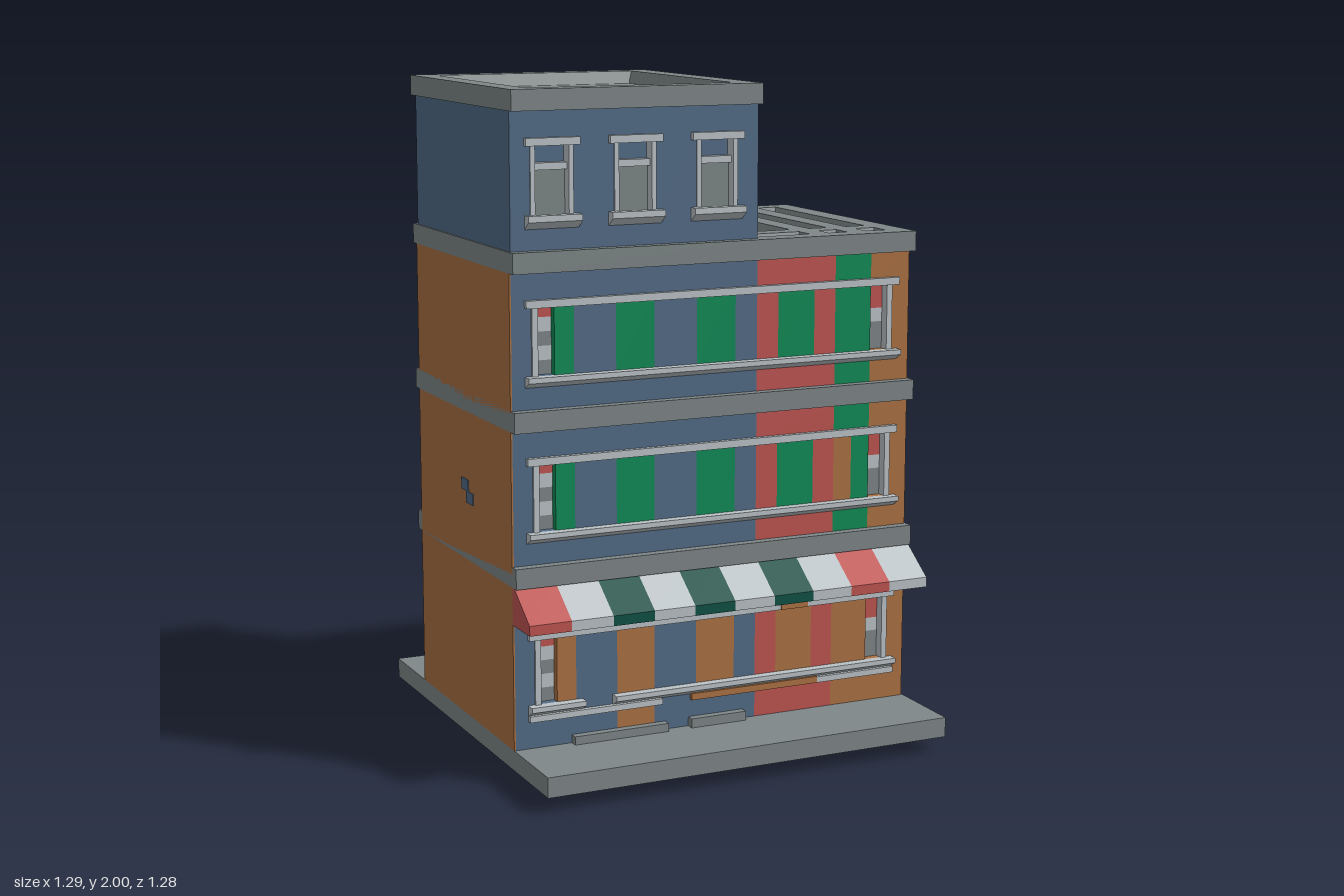
import * as THREE from 'three';

const paint = (name, color) => {
  const m = new THREE.MeshStandardMaterial({ color });
  m.name = name;
  return m;
};

export function createModel() {
  const root = new THREE.Group();
  root.name = 'cornerBuilding';
  const gray = paint('stone gray', 0x7f8788), blue = paint('slate blue', 0x536c87);
  const orange = paint('ochre', 0xac7142), red = paint('brick red', 0xbf5552);
  const green = paint('bright green', 0x0f8b56), dark = paint('dark green', 0x0e5044);
  const white = paint('pale gray', 0xbcc3c7), black = paint('charcoal', 0x3c4042);

  const add = (name, geo, mat) => {
    const m = new THREE.Mesh(geo, mat);
    m.name = name;
    root.add(m);
    return m;
  };
  // Box given by its limits on each axis
  const box = (name, mat, x0, x1, y0, y1, z0, z1) =>
    add(name, new THREE.BoxGeometry(x1 - x0, y1 - y0, z1 - z0), mat)
      .position.set((x0 + x1) / 2, (y0 + y1) / 2, (z0 + z1) / 2);
  // Side profile of [z, y] points, extruded along x
  const prism = (name, mat, pts, x0, x1) => {
    const g = new THREE.ExtrudeGeometry(new THREE.Shape(pts.map(([z, y]) => new THREE.Vector2(-z, y))),
      { depth: x1 - x0, bevelEnabled: false });
    g.rotateY(Math.PI / 2).translate(x0, 0, 0);
    // the turn maps shape x to -z
    add(name, g, mat);
  };

  // Roof slab with sloped sunken pockets
  const rect = (C, x0, x1, z0, z1) => new C([[x0, -z1], [x1, -z1], [x1, -z0], [x0, -z0]]
    .map(([x, y]) => new THREE.Vector2(x, y)));
  const roof = (name, x0, x1, y0, y1, pockets) => {
    const mid = (y0 + y1) / 2 - 0.01;
    box(name + 'Slab', gray, x0, x1, y0, mid, -0.415, 0.415);
    const s = rect(THREE.Shape, x0, x1, -0.415, 0.415);
    for (const p of pockets) s.holes.push(rect(THREE.Path, ...p));
    const g = new THREE.ExtrudeGeometry(s, { depth: y1 - mid, bevelEnabled: false });
    add(name + 'Rim', g.rotateX(-Math.PI / 2).translate(0, mid, 0), gray);
    for (const [a, b, c, d] of pockets) {
      const ring = (y, i) => [[a + i, y, d - i], [b - i, y, d - i], [b - i, y, c + i], [a + i, y, c + i]];
      const top = ring(y1, 0), low = ring(mid + 0.002, 0.015), v = [];
      const quad = (p, q, r, t) => v.push(...p, ...q, ...r, ...p, ...r, ...t);
      quad(...low);
      for (let i = 0; i < 4; i++) quad(top[i], top[(i + 1) % 4], low[(i + 1) % 4], low[i]);
      const pg = new THREE.BufferGeometry();
      pg.setAttribute('position', new THREE.Float32BufferAttribute(v, 3));
      pg.computeVertexNormals();
      add(name + 'Pocket', pg, gray);
    }
  };

  // Base slab and the small wheeled chassis under it
  box('baseSlab', gray, -0.645, 0.645, 0.045, 0.105, -0.64, 0.64);
  box('chassis', gray, -0.06, 0.06, 0.03, 0.045, -0.22, 0.22);
  for (const s of [-1, 1]) {
    box('bumper', orange, -0.14, 0.14, 0.03, 0.045, s * 0.265 - 0.03, s * 0.265 + 0.03);
    box('axle', gray, -0.1, 0.1, 0.028, 0.042, s * 0.16 - 0.012, s * 0.16 + 0.012);
    box('chassisRail', gray, s * 0.085 - 0.01, s * 0.085 + 0.01, 0.033, 0.045, -0.24, 0.24);
    for (const x of [-0.115, 0.115]) {
      const w = add('wheel', new THREE.CylinderGeometry(0.038, 0.038, 0.036, 20).rotateZ(Math.PI / 2), black);
      w.position.set(x, 0.038, s * 0.16);
      const hub = add('wheelHub', new THREE.CylinderGeometry(0.02, 0.02, 0.04, 16).rotateZ(Math.PI / 2), gray);
      hub.position.copy(w.position);
    }
  }

  // Three storeys: core by back colour, front wall bands, window strip panels
  const upperWall = [[-0.64, 0.13, blue], [0.13, 0.39, red], [0.39, 0.51, green], [0.51, 0.64, orange]];
  const strip = (c, last) => [[-0.51, -0.45, c], [-0.45, -0.32, blue], [-0.32, -0.2, c], [-0.2, -0.065, blue],
    [-0.065, 0.06, c], [0.06, 0.13, blue], [0.13, 0.2, red], [0.2, 0.32, c], [0.32, 0.39, red],
    [0.39, 0.45, last], [0.45, 0.51, c]];
  const storeys = [
    { y0: 0.105, y1: 0.59, sill: 0.205, panels: strip(orange, orange),
      back: [[-0.64, -0.385, blue], [-0.385, 0.385, dark], [0.385, 0.64, orange]],
      low: [[-0.64, -0.32, blue], [-0.32, -0.2, orange], [-0.2, 0.13, blue], [0.13, 0.39, red], [0.39, 0.64, orange]],
      high: [[-0.64, 0.13, blue], [0.13, 0.39, red], [0.39, 0.64, orange]] },
    { y0: 0.65, y1: 1.04, sill: 0.715, panels: strip(green, orange), low: upperWall, high: upperWall,
      back: [[-0.64, 0.385, blue], [0.385, 0.64, orange]] },
    { y0: 1.1, y1: 1.49, sill: 1.165, panels: strip(green, green), low: upperWall, high: upperWall,
      back: [[-0.64, 0.13, blue], [0.13, 0.64, orange]] },
  ];
  storeys.forEach(({ y0, y1, sill, panels, back, low, high }, n) => {
    const b = sill + 0.03, t = sill + 0.235;
    for (const [x0, x1, m] of back) box('storeyCore', m, x0, x1, y0, y1, -0.385, 0.355);
    for (const [x0, x1, m] of low) box('frontWallLow', m, x0, x1, y0, b, 0.355, 0.385);
    for (const [x0, x1, m] of high) box('frontWallHigh', m, x0, x1, t, y1, 0.355, 0.385);
    for (const [x0, x1, m] of panels) box('windowPanel', m, x0, x1, b, t, 0.355, 0.385);
    box('jambLeft', orange, 0.58, 0.64, b, t, 0.355, 0.385);
    box('jambRight', blue, -0.64, -0.58, b, t, 0.355, 0.385);
    // End windows with slatted fill
    for (const s of [-1, 1]) {
      box('windowPost', white, s * 0.571 - 0.009, s * 0.571 + 0.009, b, t, 0.36, 0.392);
      const rows = s < 0 ? [red, white, gray, white, gray] : [red, red, white, gray, gray];
      rows.forEach((m, i) => {
        const h = (t - b) / 5, top = t - i * h;
        box('windowSlat', m, s * 0.536 - 0.026, s * 0.536 + 0.026, top - h, top, 0.355, 0.362);
      });
    }
    box('windowHead', white, -0.6, 0.6, t - 0.01, t + 0.012, 0.385, 0.4);
    // Sills; the ground floor one has a gap
    for (const [x0, x1] of n ? [[-0.6, 0.6]] : [[-0.6, -0.43], [-0.335, 0.6]]) {
      prism('windowSill', white, [[0.385, sill - 0.002], [0.415, sill + 0.015], [0.415, sill + 0.03], [0.385, sill + 0.03]], x0, x1);
    }
    box('cornice', gray, -0.645, n === 2 ? 0.13 : 0.645, y1, y1 + 0.06, -0.415, 0.415);
  });
  box('rightSideWall', orange, -0.645, -0.64, 0.105, 1.49, -0.385, 0.385);

  // Ground floor ledges, door trim and steps
  box('ledge', white, -0.6, -0.18, 0.187, 0.205, 0.385, 0.4);
  box('ledge', orange, -0.085, 0.335, 0.187, 0.207, 0.385, 0.4);
  box('ledge', white, 0.335, 0.6, 0.187, 0.205, 0.385, 0.4);
  box('headTrim', orange, 0.21, 0.3, 0.43, 0.453, 0.385, 0.402);
  box('step', gray, -0.465, -0.165, 0.105, 0.13, 0.385, 0.41);
  box('step', gray, -0.09, 0.09, 0.105, 0.133, 0.385, 0.41);

  // Striped awning
  [red, white, dark, white, dark, white, dark, white, red, white].forEach((m, i) => {
    const x = -0.645 + i * 0.129;
    prism('awningStripe', m, [[0.385, 0.48], [0.514, 0.48], [0.514, 0.51], [0.4, 0.59], [0.385, 0.59]], x, x + 0.129);
  });

  // Top tower with three recessed sash windows
  box('towerCore', blue, -0.64, 0.13, 1.55, 1.94, -0.385, 0.35);
  box('towerWallLow', blue, -0.64, 0.13, 1.55, 1.64, 0.35, 0.385);
  box('towerWallHigh', blue, -0.64, 0.13, 1.85, 1.94, 0.35, 0.385);
  let edge = -0.64;
  for (const c of [-0.515, -0.26, -0.003]) {
    box('towerPier', blue, edge, c - 0.065, 1.64, 1.85, 0.35, 0.385);
    edge = c + 0.065;
    box('sashPane', gray, c - 0.06, c + 0.06, 1.64, 1.78, 0.35, 0.358);
    box('sashBar', white, c - 0.06, c + 0.06, 1.773, 1.793, 0.35, 0.375);
    for (const s of [-1, 1]) box('sashPost', white, c + s * 0.058 - 0.007, c + s * 0.058 + 0.007, 1.64, 1.85, 0.35, 0.39);
    box('sashHead', white, c - 0.082, c + 0.082, 1.842, 1.864, 0.385, 0.4);
    prism('sashSill', white, [[0.385, 1.61], [0.415, 1.632], [0.415, 1.65], [0.385, 1.65]], c - 0.082, c + 0.082);
  }
  box('towerPier', blue, edge, 0.13, 1.64, 1.85, 0.35, 0.385);

  // Roofs
  roof('towerRoof', -0.645, 0.13, 1.94, 2.0, [[-0.58, 0.062, -0.355, 0.352]]);
  const slots = [[0.19, 0.32], [0.385, 0.445], [0.51, 0.575]];
  roof('lowRoof', 0.13, 0.645, 1.49, 1.55, [
    ...slots.map(([a, b]) => [a, b, -0.355, 0.225]),
    ...slots.map(([a, b], i) => [i ? a : 0.135, b, 0.285, 0.35]),
  ]);

  // Small paired patches on the back and right walls
  for (const [x, y, m] of [[0.315, 0.8, orange], [-0.285, 0.245, gray], [-0.415, 0.245, red]]) {
    box('wallPatch', m, x - 0.03, x + 0.03, y - 0.02, y + 0.012, -0.388, -0.38);
    box('wallPatch', m, x - 0.075, x - 0.015, y + 0.012, y + 0.044, -0.388, -0.38);
  }
  box('sidePatch', blue, -0.648, -0.64, 0.8, 0.835, -0.015, 0.04);
  box('sidePatch', blue, -0.648, -0.64, 0.765, 0.8, 0.025, 0.08);
  return root;
}
